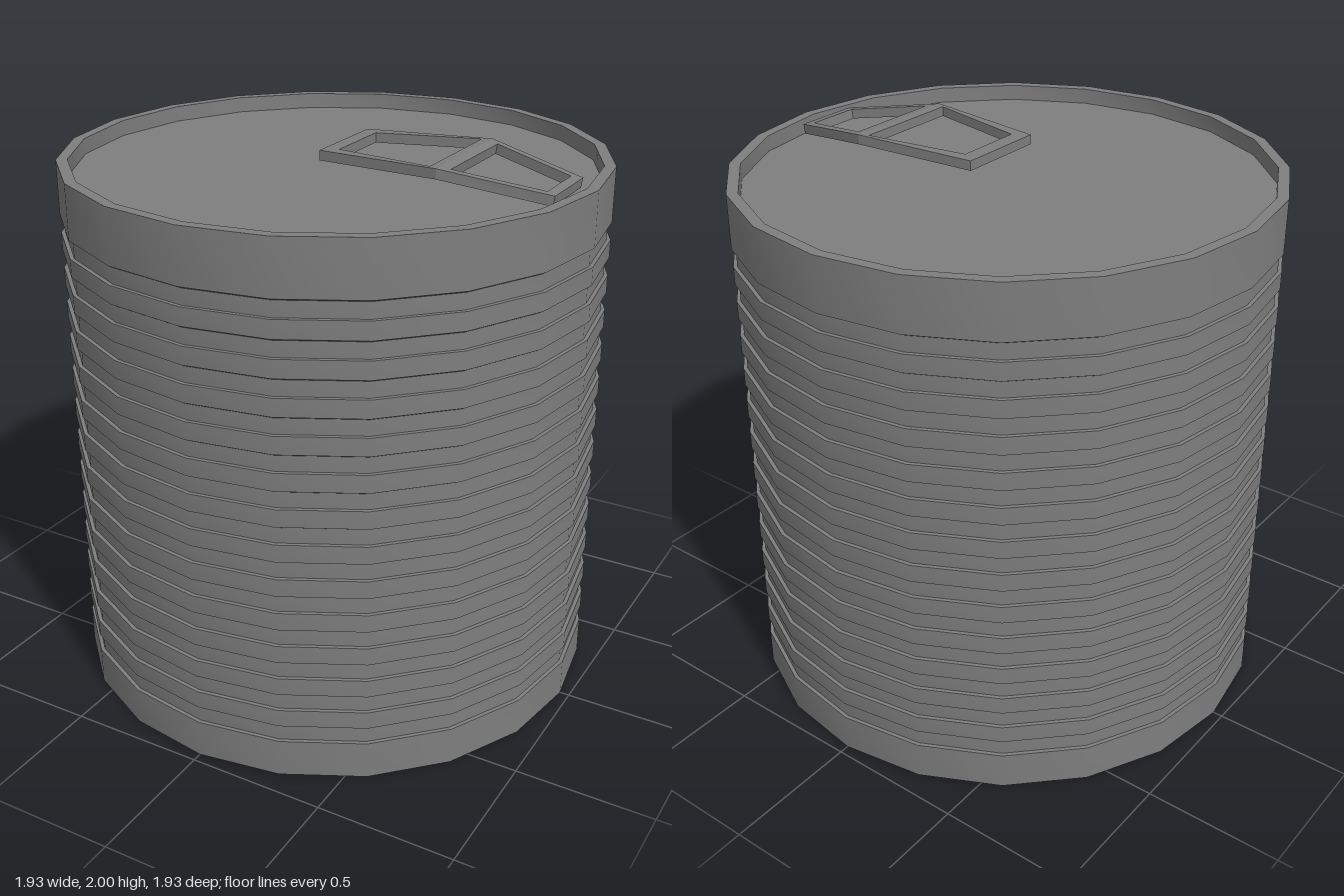
import * as THREE from 'three';
import { toCreasedNormals } from 'three/addons/utils/BufferGeometryUtils.js';

const SIDES = 20;
const R = 0.965;        // bands and ribs
const GROOVE_R = 0.951; // between the ribs
const RIM_Y = 1.937;
const LID_Y = 1.88;

const material = new THREE.MeshStandardMaterial({ color: 0x7e7e7e });

function lathe(name, profile) {
  const points = profile.map(([r, y]) => new THREE.Vector2(r, y));
  const geometry = toCreasedNormals(new THREE.LatheGeometry(points, SIDES), 0.5);
  const mesh = new THREE.Mesh(geometry, material);
  mesh.name = name;
  return mesh;
}

// Wall with plain bands at both ends and twelve ribs, slightly undercut, between them
function wallProfile() {
  const low = 0.138, high = 1.743, ribs = 12, undercut = 0.008;
  const step = (high - low) / (2 * ribs + 1);
  const profile = [[0.945, 0.015], [0.945, 0], [R, 0], [R, low]];
  for (let i = 0; i <= ribs; i++) {
    const y = low + 2 * i * step;
    profile.push([GROOVE_R, y], [GROOVE_R, y + step - undercut], [R, y + step]);
    if (i < ribs) profile.push([R, y + 2 * step]);
  }
  // raised rim around the sunken lid
  profile.push([R, RIM_Y], [0.925, RIM_Y], [0.925, LID_Y]);
  return profile;
}

// Height of the pull tab's upper face: nearly level, then bent down to the rim
function tabTop(x) {
  return x <= 0.5
    ? THREE.MathUtils.mapLinear(x, 0.04, 0.5, 1.989, 2)
    : THREE.MathUtils.mapLinear(x, 0.5, 0.87, 2, 1.938);
}

// Trapezoid symmetric about its long axis: half widths w0 at x0 and w1 at x1
function trapezoid(PathType, [x0, w0, x1, w1]) {
  return new PathType([[x0, -w0], [x1, -w1], [x1, w1], [x0, w0]]
    .map(([x, y]) => new THREE.Vector2(x, y)));
}

function tabFrame(name, outer, hole) {
  const thickness = 0.035;
  const shape = trapezoid(THREE.Shape, outer);
  shape.holes.push(trapezoid(THREE.Path, hole));
  const geometry = new THREE.ExtrudeGeometry(shape, { depth: thickness, bevelEnabled: false });
  geometry.rotateX(-Math.PI / 2);
  const p = geometry.attributes.position;
  for (let i = 0; i < p.count; i++) {
    const x = p.getX(i);
    const below = thickness - p.getY(i);
    // walls of the bent part stay square to its slope
    if (x > 0.501) p.setX(i, x - below * 0.17);
    p.setY(i, tabTop(x) - below);
  }
  geometry.computeVertexNormals();
  const mesh = new THREE.Mesh(geometry, material);
  mesh.name = name;
  return mesh;
}

export function createModel() {
  const can = new THREE.Group();
  can.name = 'can';

  can.add(lathe('ribbedWall', wallProfile()));
  can.add(lathe('lid', [[0.925, LID_Y], [0, LID_Y]]));
  // Base with a pressed ring and a raised centre panel
  can.add(lathe('base', [
    [0, 0.03], [0.53, 0.03], [0.53, 0.02], [0.67, 0.02],
    [0.67, 0.028], [0.705, 0.028], [0.705, 0.015], [0.945, 0.015],
  ]));

  // Pull tab: two open frames meeting at the bend
  const tab = new THREE.Group();
  tab.name = 'pullTab';
  tab.position.z = 0.012;
  tab.add(tabFrame('tabGrip', [0.04, 0.17, 0.5, 0.222], [0.095, 0.13, 0.468, 0.202]));
  tab.add(tabFrame('tabNose', [0.5, 0.222, 0.87, 0.123], [0.535, 0.184, 0.835, 0.102]));
  can.add(tab);

  return can;
}
